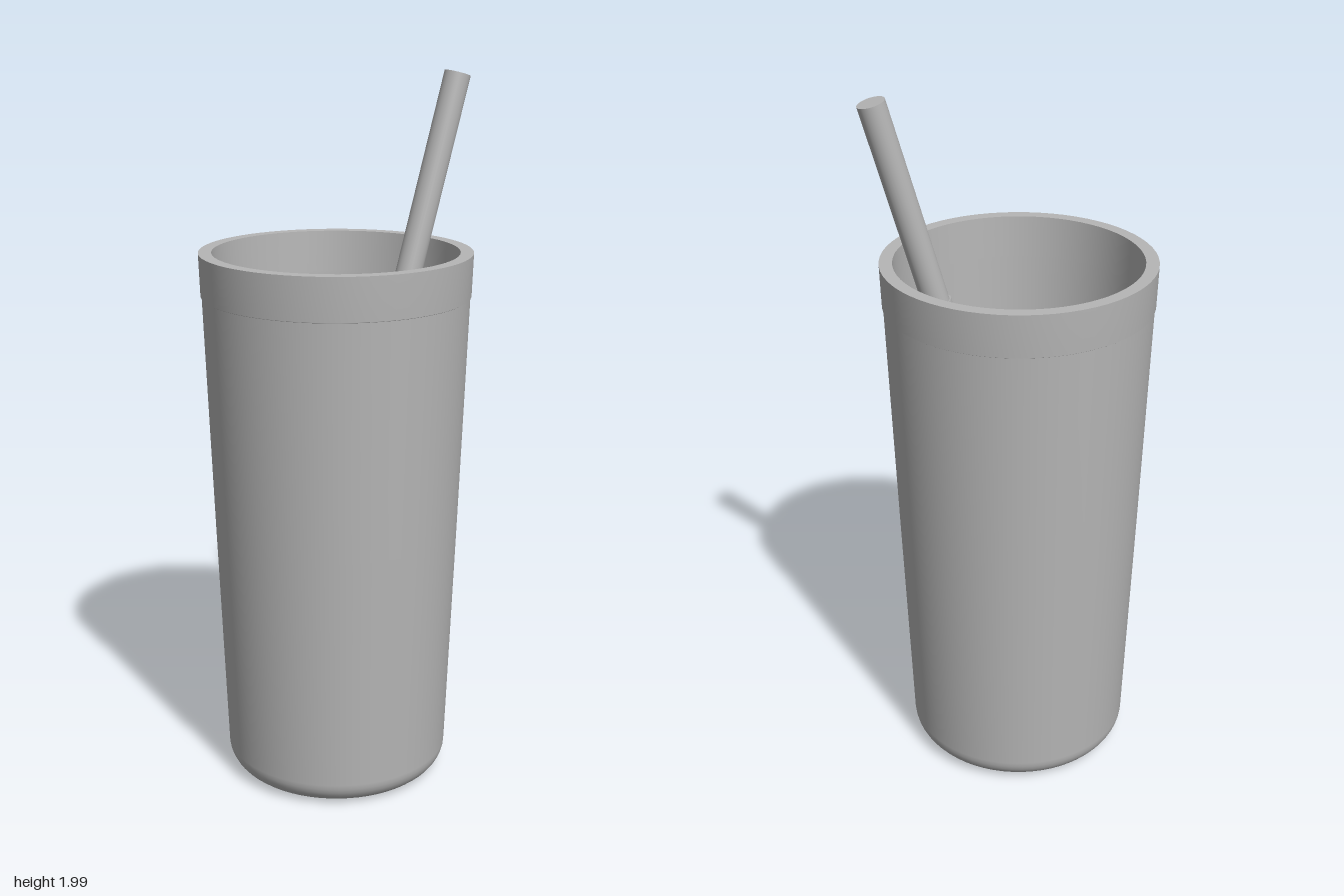
import * as THREE from 'three';

const V = (x, y) => new THREE.Vector2(x, y);
const CUP_X = -0.028;

// Points of a quarter-round corner from angle a0 to a1
function arc(cx, cy, r, a0, a1, n = 8) {
  return Array.from({ length: n + 1 }, (_, i) => {
    const a = a0 + ((a1 - a0) * i) / n;
    return V(cx + r * Math.cos(a), cy + r * Math.sin(a));
  });
}

// Each strip is its own lathe, so the edges between strips stay crisp
function lathe(name, strips, material) {
  const group = new THREE.Group();
  group.name = name;
  for (const points of strips) {
    const mesh = new THREE.Mesh(new THREE.LatheGeometry(points, 64), material);
    mesh.name = name + 'Surface';
    group.add(mesh);
  }
  group.position.x = CUP_X;
  return group;
}

// Round rod between two points in the x-y plane
function rod(name, from, to, radius, material) {
  const a = new THREE.Vector3(from.x, from.y, 0);
  const b = new THREE.Vector3(to.x, to.y, 0);
  const mesh = new THREE.Mesh(new THREE.CylinderGeometry(radius, radius, a.distanceTo(b), 28), material);
  mesh.name = name;
  mesh.position.copy(a).add(b).multiplyScalar(0.5);
  mesh.quaternion.setFromUnitVectors(new THREE.Vector3(0, 1, 0), b.clone().sub(a).normalize());
  return mesh;
}

export function createModel() {
  const model = new THREE.Group();
  model.name = 'tumblerWithStraw';
  const grey = new THREE.MeshStandardMaterial({ color: 0xb6b6b6, side: THREE.DoubleSide });
  grey.name = 'grey';

  // Tapered outer body with a rounded foot
  const body = [V(0, 0.005), ...arc(0.25, 0.075, 0.07, -Math.PI / 2, 0), V(0.345, 0.75), V(0.368, 1.41)];

  // Rim band, its flat top and the short inner lip
  const rim = [
    [V(0.368, 1.41), V(0.371, 1.412), V(0.375, 1.53)],
    [V(0.375, 1.53), V(0.339, 1.53)],
    [V(0.339, 1.53), V(0.335, 1.41)],
  ];

  // Inner wall flowing into the floor
  const inside = [V(0.335, 1.41), V(0.315, 0.75), ...arc(0.232, 0.11, 0.058, 0, -Math.PI / 2), V(0, 0.052)];

  model.add(lathe('body', [body], grey), lathe('rim', rim, grey), lathe('inside', [inside], grey));

  // Leaning straw: a slightly thicker lower length and a slimmer tip
  const joint = V(0.205, 1.44);
  model.add(
    rod('strawLower', V(-0.21, 0.065), joint, 0.041, grey),
    rod('strawUpper', V(0.2, 1.42), V(0.36, 1.99), 0.037, grey),
  );
  return model;
}
